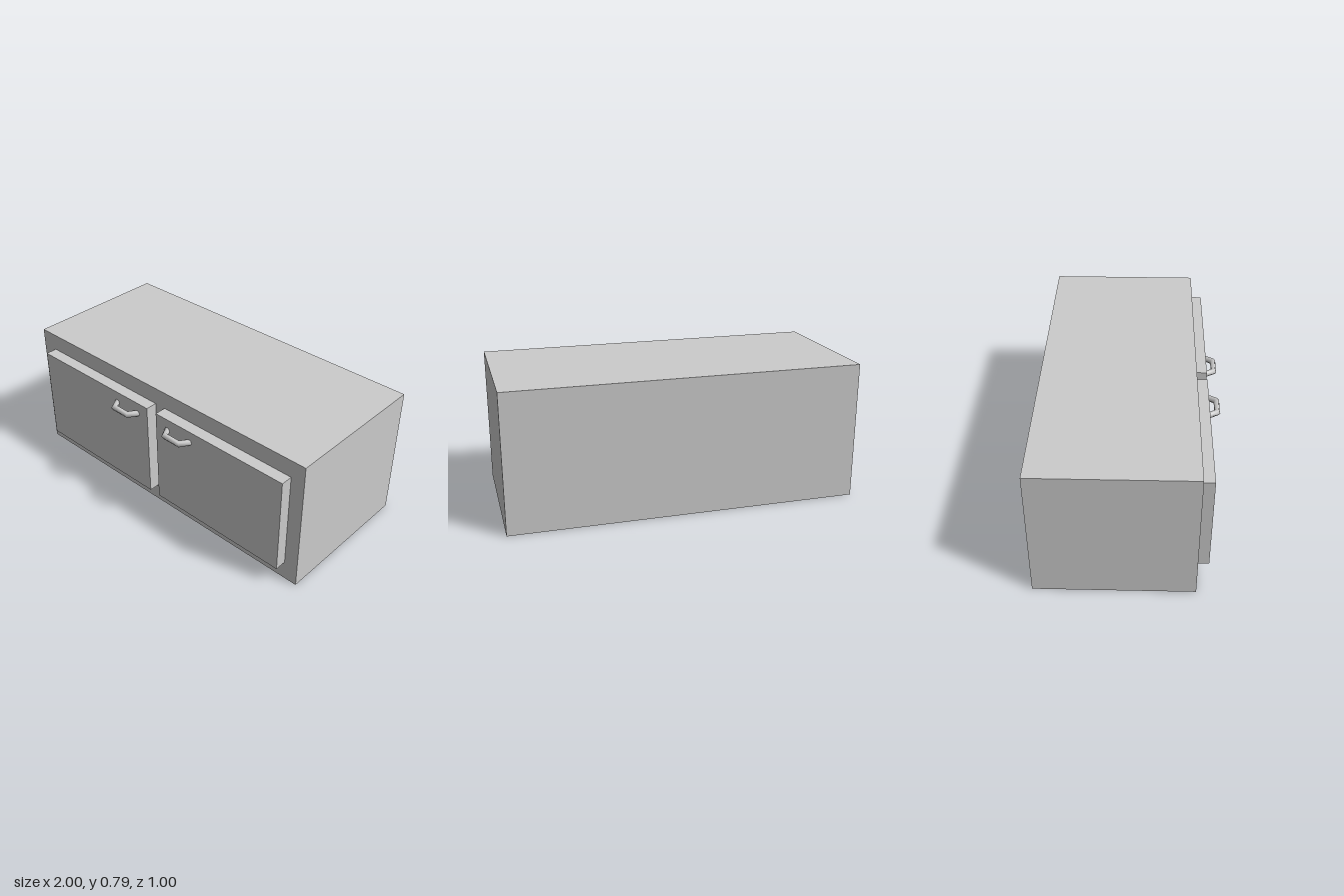
import * as THREE from 'three';

const grey = new THREE.MeshStandardMaterial({ color: 0xcccccc });

// Box given by its lower and upper corners
function box(name, [x0, y0, z0], [x1, y1, z1]) {
  const mesh = new THREE.Mesh(new THREE.BoxGeometry(x1 - x0, y1 - y0, z1 - z0), grey);
  mesh.position.set((x0 + x1) / 2, (y0 + y1) / 2, (z0 + z1) / 2);
  mesh.name = name;
  return mesh;
}

// Six-sided bar bent into a trapezoid, with mitred corners
function handleGeometry() {
  const sides = 6;
  const halfHeight = 0.0175;
  // Each station: centre x, z and the outward mitre offset x, z
  const stations = [
    [-0.083, 0.437, -0.019, 0],
    [-0.052, 0.486, -0.011, 0.016],
    [0.052, 0.486, 0.011, 0.016],
    [0.083, 0.437, 0.019, 0],
  ];
  const positions = [];
  const index = [];
  stations.forEach(([x, z, mx, mz], i) => {
    for (let j = 0; j < sides; j++) {
      const a = (j / sides) * Math.PI * 2;
      const c = Math.cos(a);
      positions.push(x + mx * c, halfHeight * Math.sin(a), z + mz * c);
      if (i === stations.length - 1) continue;
      const p = i * sides + j;
      const q = i * sides + ((j + 1) % sides);
      index.push(p, p + sides, q, q, p + sides, q + sides);
    }
  });
  const geometry = new THREE.BufferGeometry();
  geometry.setAttribute('position', new THREE.Float32BufferAttribute(positions, 3));
  geometry.setIndex(index);
  geometry.computeVertexNormals();
  return geometry;
}

export function createModel() {
  const cabinet = new THREE.Group();
  cabinet.name = 'cabinet';
  cabinet.add(box('body', [-1, 0, -0.503], [1, 0.79, 0.37]));

  // Two raised doors, each with its handle
  const handle = handleGeometry();
  const doors = [
    { side: 'right', x0: -0.9, x1: -0.027, handleX: -0.19 },
    { side: 'left', x0: 0.042, x1: 0.918, handleX: 0.21 },
  ];
  for (const { side, x0, x1, handleX } of doors) {
    cabinet.add(box(side + 'Door', [x0, 0.112, 0.37], [x1, 0.69, 0.438]));
    const mesh = new THREE.Mesh(handle, grey);
    mesh.name = side + 'Handle';
    mesh.position.set(handleX, 0.622, 0);
    cabinet.add(mesh);
  }
  return cabinet;
}
